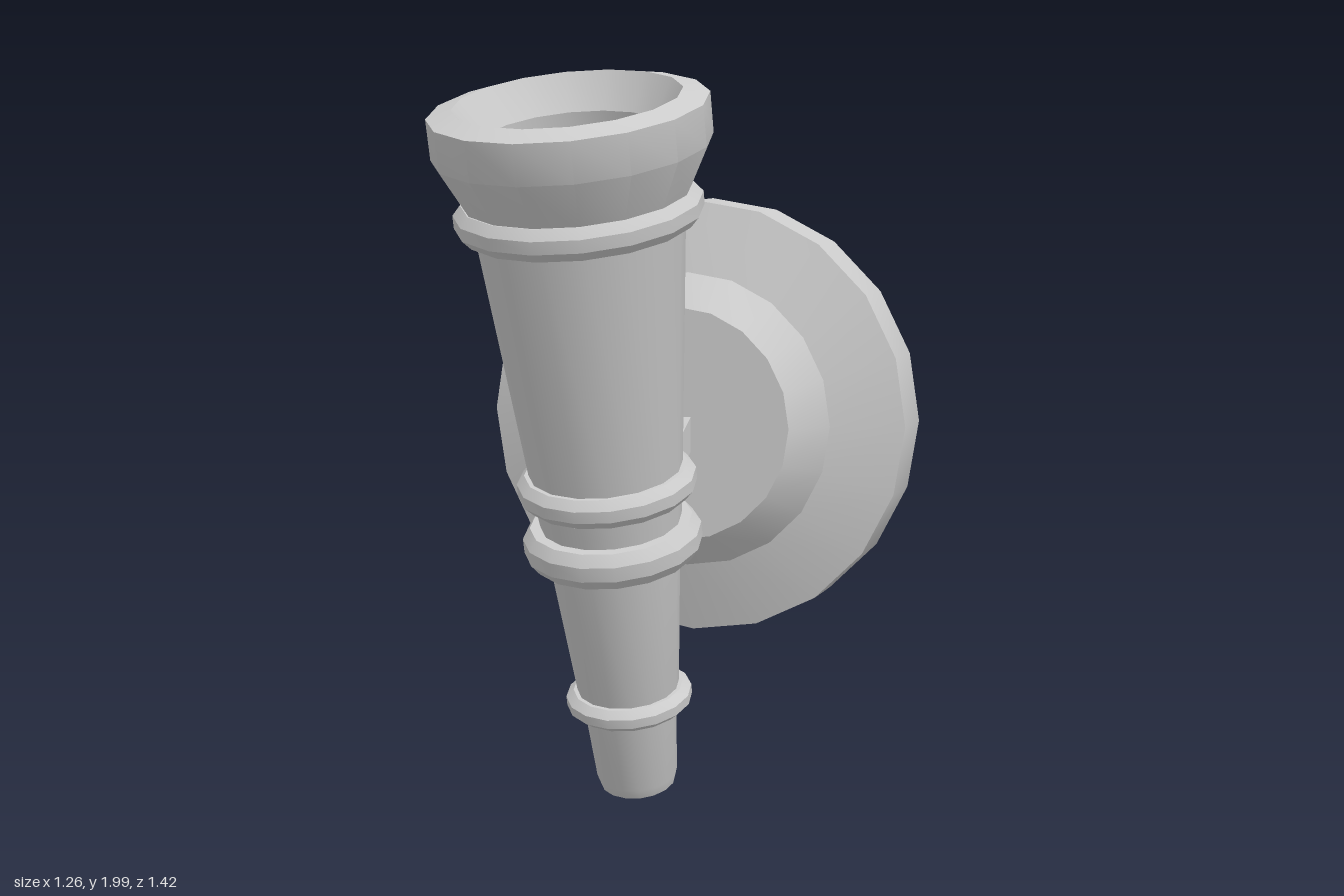
import * as THREE from 'three';
import { toCreasedNormals } from 'three/addons/utils/BufferGeometryUtils.js';

const material = new THREE.MeshStandardMaterial({ color: 0xcccccc, side: THREE.DoubleSide });

// Profile of [radius, height] pairs turned around y, with sharp creases kept
function turned(name, profile, sides) {
  const points = profile.map(([r, h]) => new THREE.Vector2(r, h));
  const geometry = toCreasedNormals(new THREE.LatheGeometry(points, sides), 0.5);
  const mesh = new THREE.Mesh(geometry, material);
  mesh.name = name;
  return mesh;
}

// Bevelled band around the torch: outer radius, centre height, half height
function ring(name, inner, outer, at, half) {
  return turned(name, [
    [inner, at - half], [outer - 0.022, at - half], [outer, at - half * 0.4],
    [outer, at + half * 0.4], [outer - 0.022, at + half], [inner, at + half],
  ], 16);
}

export function createModel() {
  const model = new THREE.Group();
  const centreX = -0.018;

  // Torch, leaning forward from its foot
  const torch = new THREE.Group();
  torch.name = 'torch';
  torch.position.set(centreX, 0.025, -0.135);
  torch.rotation.x = THREE.MathUtils.degToRad(15);

  // Tapered hollow handle, open at the top
  torch.add(turned('handle', [
    [0, 0], [0.085, 0], [0.104, 0.012], [0.112, 0.04], [0.127, 0.25], [0.14, 0.31],
    [0.177, 0.71], [0.193, 0.84], [0.204, 0.95], [0.272, 1.66],
    [0.235, 1.66], [0.175, 0.95], [0.155, 0.76], [0, 0.76],
  ], 16));

  // Flared cup with a funnel-shaped mouth
  torch.add(turned('cup', [
    [0.23, 1.66], [0.275, 1.66], [0.29, 1.71], [0.356, 1.84], [0.356, 1.945],
    [0.29, 1.963], [0.23, 1.87], [0.23, 1.66],
  ], 16));

  torch.add(
    ring('lowerRing', 0.12, 0.173, 0.283, 0.032),
    ring('bracketRing', 0.16, 0.24, 0.762, 0.05),
    ring('middleRing', 0.18, 0.239, 0.925, 0.04),
    ring('upperRing', 0.25, 0.319, 1.675, 0.042),
  );
  model.add(torch);

  // Round stepped wall plate
  const plate = turned('wallPlate', [
    [0, 0], [0.628, 0], [0.628, 0.162], [0.425, 0.22], [0.334, 0.32], [0, 0.32],
  ], 20);
  plate.rotation.x = Math.PI / 2;
  plate.position.set(0, 1.01, -0.706);
  model.add(plate);

  // Bent flat arm joining plate and torch, side outline as [-z, y]
  const outline = [
    [0.06, 0.845], [0.13, 0.852], [0.19, 0.867], [0.25, 0.91], [0.32, 0.995], [0.41, 1.045],
    [0.41, 0.94], [0.33, 0.91], [0.265, 0.84], [0.2, 0.785], [0.13, 0.778], [0.06, 0.77],
  ];
  const shape = new THREE.Shape(outline.map(([z, y]) => new THREE.Vector2(z, y)));
  const width = 0.125;
  const armGeometry = new THREE.ExtrudeGeometry(shape, { depth: width, bevelEnabled: false });
  armGeometry.translate(0, 0, -width / 2).rotateY(Math.PI / 2);
  const arm = new THREE.Mesh(toCreasedNormals(armGeometry, 0.8), material);
  arm.name = 'arm';
  arm.position.x = centreX;
  model.add(arm);

  return model;
}
